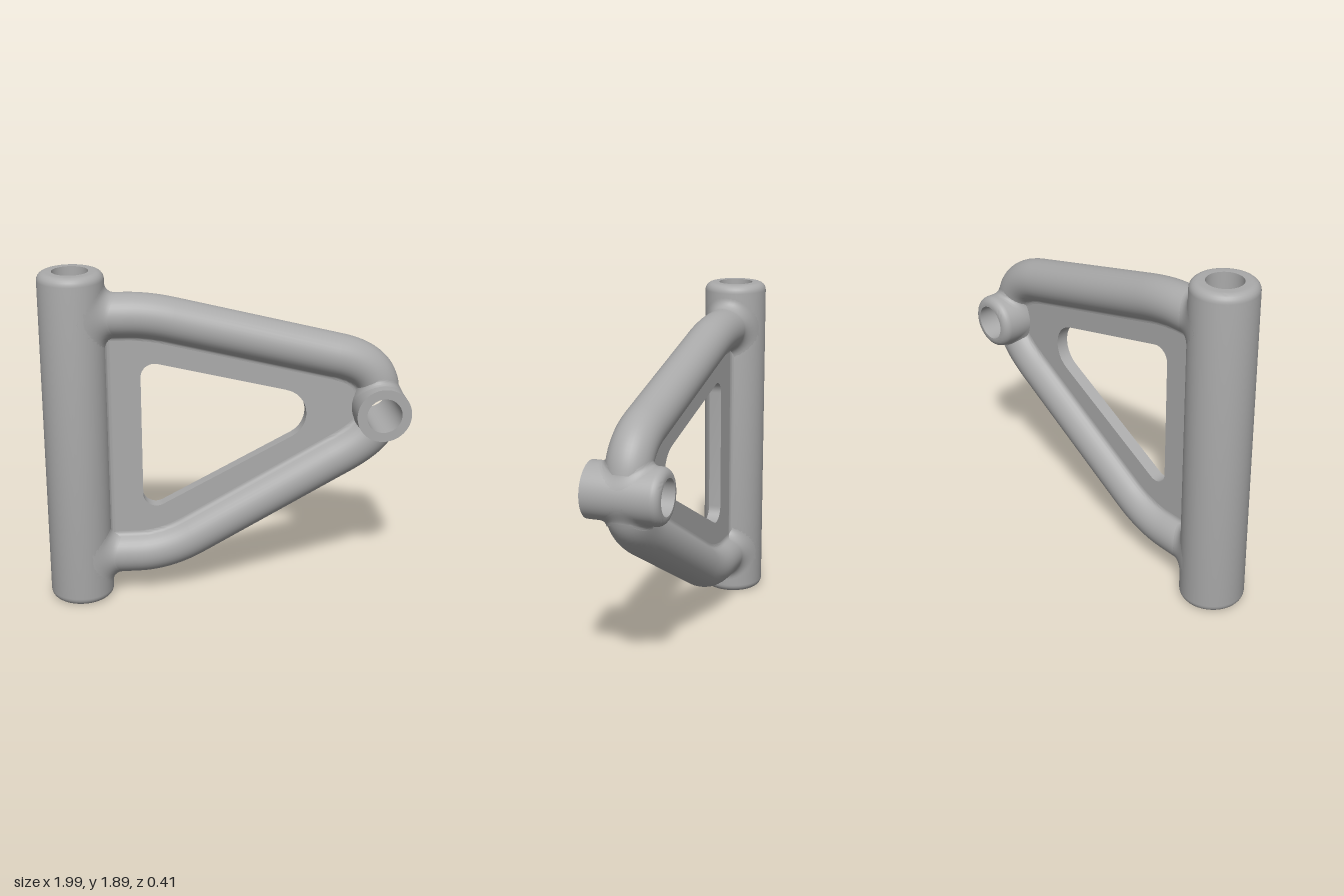
import * as THREE from 'three';
import { toCreasedNormals } from 'three/addons/utils/BufferGeometryUtils.js';

const ARM_R = 0.12, BORE_R = 0.097, WEB_HALF = 0.035;
const PIPE = { x: -0.82, r: 0.177, height: 1.89 };
const EYE = { x: 0.845, y: 1.09, r: 0.15 };

const smooth = (geometry) => toCreasedNormals(geometry, 0.6);

// Surface from a rule fn(u, v) -> [x, y, z], with u and v as grid indices
function grid(nu, nv, fn) {
  const g = new THREE.PlaneGeometry(1, 1, nu, nv);
  const p = g.attributes.position;
  for (let v = 0; v <= nv; v++)
    for (let u = 0; u <= nu; u++) p.setXYZ(v * (nu + 1) + u, ...fn(u, v));
  return smooth(g);
}

// Round bar section that blends into the web with a concave fillet
function barSection(R, f) {
  const c = Math.sqrt((R + f) ** 2 - (WEB_HALF + f) ** 2);
  const a0 = Math.atan2(WEB_HALF + f, c);
  const fillet = [], bar = [];
  for (let i = 0; i < 5; i++) {
    const a = THREE.MathUtils.lerp(-Math.PI / 2, a0 - Math.PI, i / 5);
    fillet.push([c + f * Math.cos(a), WEB_HALF + f + f * Math.sin(a)]);
  }
  for (let i = 0; i <= 32; i++) {
    const a = THREE.MathUtils.lerp(a0, 2 * Math.PI - a0, i / 32);
    bar.push([R * Math.cos(a), R * Math.sin(a)]);
  }
  return [...fillet, ...bar, ...fillet.map(([n, z]) => [n, -z]).reverse()];
}

// Sweep a section along a flat path; side picks where the web lies
function sweep(path, section, side) {
  const pts = path.getPoints(14);
  return grid(section.length - 1, pts.length - 1, (u, v) => {
    const a = pts[Math.max(v - 1, 0)], b = pts[Math.min(v + 1, pts.length - 1)];
    // average the two neighbouring directions for the mitre
    const t = new THREE.Vector2();
    if (v > 0) t.add(pts[v].clone().sub(a).normalize());
    if (v < pts.length - 1) t.add(b.clone().sub(pts[v]).normalize());
    t.normalize();
    const [n, z] = section[u];
    return [pts[v].x - side * t.y * n, pts[v].y + side * t.x * n, -side * z];
  });
}

// Saddle fillet where an arm along +x leaves a cylinder standing on y
function flare(R, f) {
  return grid(40, 8, (u, v) => {
    const a = (u / 40) * Math.PI * 2, k = (v / 8) * Math.PI / 2;
    const r = ARM_R + f * (1 - Math.cos(k));
    const z = r * Math.sin(a);
    const x = Math.sqrt(Math.max(R * R - z * z, 0)) + f * (1 - Math.sin(k));
    return [x, r * Math.cos(a), z];
  });
}

// Bored cylinder with optional rounded rims
function sleeve(R, y0, y1, round0, round1) {
  const p = [new THREE.Vector2(BORE_R, y0)];
  const rim = (y, r, dir) => {
    if (!r) return p.push(new THREE.Vector2(R, y));
    for (let i = 0; i <= 6; i++) {
      const a = (dir < 0 ? i - 6 : i) / 6 * Math.PI / 2;
      p.push(new THREE.Vector2(R - r + r * Math.cos(a), y - dir * r + r * Math.sin(a)));
    }
  };
  rim(y0, round0, -1);
  rim(y1, round1, 1);
  p.push(new THREE.Vector2(BORE_R, y1), new THREE.Vector2(BORE_R, y0));
  return smooth(new THREE.LatheGeometry(p, 56));
}

// Closed polygon [x, y, radius] with rounded corners
function roundedPath(corners) {
  const path = new THREE.Path();
  const n = corners.length;
  corners.forEach(([x, y, r], i) => {
    const c = new THREE.Vector2(x, y);
    const toward = (j) => new THREE.Vector2(corners[j][0], corners[j][1]).sub(c).normalize();
    const d0 = toward((i + n - 1) % n), d1 = toward((i + 1) % n);
    const turn = Math.PI - Math.acos(d0.dot(d1));
    const len = r * Math.tan(turn / 2), k = len - r * 4 / 3 * Math.tan(turn / 4);
    const at = (d, s) => c.clone().addScaledVector(d, s);
    const a = at(d0, len), b = at(d0, k), e = at(d1, k), g = at(d1, len);
    if (i === 0) path.moveTo(a.x, a.y); else path.lineTo(a.x, a.y);
    path.bezierCurveTo(b.x, b.y, e.x, e.y, g.x, g.y);
  });
  path.closePath();
  return path;
}

export function createModel() {
  const group = new THREE.Group();
  const metal = new THREE.MeshStandardMaterial({ color: 0xaaaaaa });
  metal.name = 'grey metal';
  const add = (name, geometry) => {
    const mesh = new THREE.Mesh(geometry, metal);
    mesh.name = name;
    group.add(mesh);
    return mesh;
  };

  // Upright pivot pipe and its fillet to the web
  add('pivotPipe', sleeve(PIPE.r, 0, PIPE.height, 0.045, 0.045)).position.x = PIPE.x;
  const pipeLine = new THREE.Path().moveTo(PIPE.x, 0.25).lineTo(PIPE.x, 1.65);
  add('pipeWebFillet', sweep(pipeLine, barSection(PIPE.r - 0.001, 0.03), -1));

  // Bored eye at the tip, square at the front and rounded at the back
  const eye = add('tipEye', sleeve(EYE.r, -0.21, 0.205, 0.045, 0).rotateX(Math.PI / 2));
  eye.position.set(EYE.x, EYE.y, 0);

  // Bent arms from the pipe to the eye
  const upper = new THREE.Path().moveTo(-0.71, 1.645).lineTo(-0.55, 1.645)
    .quadraticCurveTo(-0.43, 1.645, -0.3, 1.613).lineTo(0.6, 1.385)
    .quadraticCurveTo(0.82, 1.335, 0.84, 1.19);
  const lower = new THREE.Path().moveTo(-0.71, 0.255).lineTo(-0.5, 0.255)
    .quadraticCurveTo(-0.34, 0.255, -0.18, 0.345).lineTo(0.6, 0.782)
    .quadraticCurveTo(0.825, 0.9, 0.84, 0.99);
  const section = barSection(ARM_R, 0.03);
  for (const [name, path, side, y] of [['upper', upper, -1, 1.645], ['lower', lower, 1, 0.255]]) {
    add(name + 'Arm', sweep(path, section, side));
    add(name + 'PipeFlare', flare(PIPE.r, 0.055)).position.set(PIPE.x, y, 0);
    const eyeFlare = flare(EYE.r, 0.03).rotateX(Math.PI / 2).rotateZ(-side * 1.67);
    add(name + 'EyeFlare', eyeFlare).position.set(EYE.x, EYE.y, 0);
  }

  // Web plate with a rounded triangular window
  const web = new THREE.Shape([
    [-0.7, 0.255], [-0.34, 0.255], [0.72, 0.85], [0.73, 1.09],
    [0.72, 1.355], [-0.43, 1.645], [-0.7, 1.645],
  ].map(([x, y]) => new THREE.Vector2(x, y)));
  web.holes.push(roundedPath([[-0.465, 1.396, 0.075], [0.706, 1.107, 0.147], [-0.465, 0.49, 0.075]]));
  const plate = new THREE.ExtrudeGeometry(web, {
    depth: 2 * WEB_HALF, bevelEnabled: false, curveSegments: 12,
  });
  add('webPlate', smooth(plate.translate(0, 0, -WEB_HALF)));

  return group;
}
